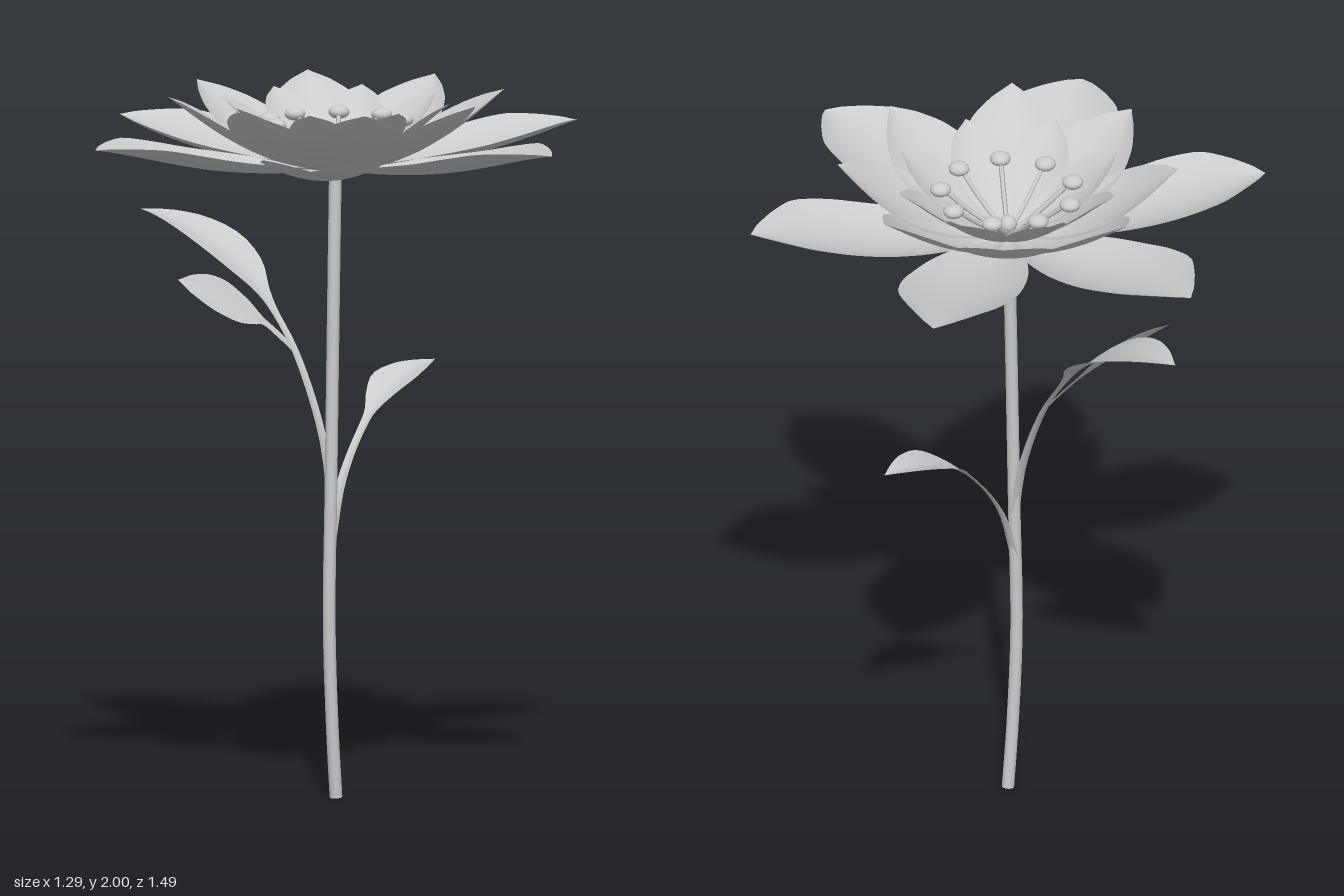
import * as THREE from 'three';

const material = new THREE.MeshStandardMaterial({ color: 0xcccccc });
const thin = new THREE.MeshStandardMaterial({ color: 0xcccccc, side: THREE.DoubleSide });

function addMesh(parent, name, geometry, mat = material) {
  const mesh = new THREE.Mesh(geometry, mat);
  mesh.name = name;
  parent.add(mesh);
  return mesh;
}

// Thin blade swept along rows of [x, y, z, halfWidth]; its edges lift by cup * halfWidth towards 'up'
function bladeGeometry(rows, up, cup, power = 2, along = 28, across = 10) {
  const centre = new THREE.CatmullRomCurve3(rows.map(r => new THREE.Vector3(r[0], r[1], r[2])));
  const width = new THREE.CatmullRomCurve3(rows.map((r, i) => new THREE.Vector3(r[3], i * 0.1, 0)));
  const hint = new THREE.Vector3(...up).normalize();
  const positions = [], index = [];
  for (let i = 0; i <= along; i++) {
    const t = i / along;
    const p = centre.getPoint(t);
    const tangent = centre.getTangent(t);
    const side = new THREE.Vector3().crossVectors(hint, tangent).normalize();
    const lift = new THREE.Vector3().crossVectors(tangent, side).normalize();
    const half = Math.max(width.getPoint(t).x, 0.0005);
    for (let j = 0; j <= across; j++) {
      const v = (j / across) * 2 - 1;
      const q = p.clone().addScaledVector(side, v * half)
        .addScaledVector(lift, cup * half * Math.abs(v) ** power);
      positions.push(q.x, q.y, q.z);
      if (i < along && j < across) {
        const a = i * (across + 1) + j, b = a + across + 1;
        index.push(a, b, a + 1, a + 1, b, b + 1);
      }
    }
  }
  const geometry = new THREE.BufferGeometry();
  geometry.setAttribute('position', new THREE.Float32BufferAttribute(positions, 3));
  geometry.setIndex(index);
  geometry.computeVertexNormals();
  return geometry;
}

// Ring of petals; profile rows are [radius, height, halfWidth]
function petalRing(name, count, offset, profile, cup) {
  const ring = new THREE.Group();
  ring.name = name;
  const geometry = bladeGeometry(profile.map(([r, y, w]) => [0, y, r, w]), [0, 1, 0], cup);
  for (let i = 0; i < count; i++) {
    addMesh(ring, 'petal', geometry, thin).rotation.y = offset + (i / count) * Math.PI * 2;
  }
  return ring;
}

function createStem() {
  const stem = new THREE.Group();
  stem.name = 'stem';
  const path = new THREE.CatmullRomCurve3([
    [0, 0], [-0.018, 0.2], [-0.033, 0.5], [-0.024, 0.9], [-0.015, 1.3], [-0.003, 1.79],
  ].map(([x, y]) => new THREE.Vector3(x, y, 0)));
  addMesh(stem, 'stalk', new THREE.TubeGeometry(path, 40, 0.018, 12));
  const cap = addMesh(stem, 'stalkEnd', new THREE.CircleGeometry(0.018, 12));
  cap.rotation.x = Math.PI / 2;
  return stem;
}

function createLeaves() {
  const leaves = new THREE.Group();
  leaves.name = 'leaves';
  // Single leaf arching out to the side
  addMesh(leaves, 'sideLeaf', bladeGeometry([
    [-0.02, 0.73, 0, 0.018], [0.02, 0.87, 0, 0.016], [0.07, 0.96, 0, 0.014],
    [0.13, 1.035, 0, 0.014], [0.17, 1.075, 0, 0.02], [0.22, 1.112, 0, 0.048],
    [0.29, 1.148, 0, 0.074], [0.37, 1.173, 0, 0.058], [0.43, 1.184, 0, 0.03], [0.48, 1.19, 0, 0],
  ], [-1, 1, 0], 0.25, 1.4), thin);
  // Forked leaf arching to the back
  addMesh(leaves, 'backLeaf', bladeGeometry([
    [-0.02, 0.8, 0, 0.02], [-0.02, 1.0, -0.03, 0.018], [-0.02, 1.14, -0.075, 0.017],
    [-0.02, 1.27, -0.135, 0.016], [-0.02, 1.365, -0.2, 0.017], [-0.02, 1.42, -0.245, 0.035],
    [-0.02, 1.48, -0.31, 0.085], [-0.02, 1.54, -0.4, 0.108], [-0.02, 1.585, -0.5, 0.09],
    [-0.02, 1.61, -0.59, 0.048], [-0.02, 1.62, -0.66, 0],
  ], [0, 1, 1], 0.18, 1.4), thin);
  // Smaller leaflet lying in the same curved surface
  addMesh(leaves, 'forkLeaflet', bladeGeometry([
    [-0.02, 1.26, -0.13, 0.015], [-0.06, 1.305, -0.155, 0.015], [-0.1, 1.347, -0.182, 0.018],
    [-0.14, 1.372, -0.2, 0.05], [-0.2, 1.402, -0.225, 0.08], [-0.26, 1.435, -0.255, 0.075],
    [-0.31, 1.465, -0.285, 0.04], [-0.337, 1.483, -0.305, 0],
  ], [0, 0.7, 0.7], 0.18, 1.4), thin);
  return leaves;
}

function createStamens() {
  const stamens = new THREE.Group();
  stamens.name = 'stamens';
  const count = 9;
  for (let i = 0; i < count; i++) {
    const stamen = new THREE.Group();
    stamen.name = 'stamen';
    stamen.rotation.y = 0.05 + (i / count) * Math.PI * 2;
    const path = new THREE.QuadraticBezierCurve3(
      new THREE.Vector3(0, 1.785, 0), new THREE.Vector3(0, 1.83, 0.09), new THREE.Vector3(0, 1.92, 0.18));
    addMesh(stamen, 'filament', new THREE.TubeGeometry(path, 8, 0.007, 6));
    const anther = addMesh(stamen, 'anther', new THREE.SphereGeometry(0.03, 14, 10));
    anther.position.set(0, 1.92, 0.19);
    anther.scale.y = 0.65;
    stamens.add(stamen);
  }
  const pistil = addMesh(stamens, 'pistil', new THREE.SphereGeometry(0.025, 16, 12));
  pistil.position.y = 1.815;
  return stamens;
}

export function createModel() {
  const flower = new THREE.Group();
  flower.name = 'flower';
  flower.add(createStem(), createLeaves(), createStamens());
  flower.add(petalRing('outerPetals', 6, 0, [
    [0, 1.785, 0.012], [0.1, 1.782, 0.07], [0.2, 1.785, 0.115], [0.3, 1.793, 0.146], [0.4, 1.806, 0.162],
    [0.5, 1.826, 0.167], [0.6, 1.85, 0.148], [0.67, 1.866, 0.092], [0.72, 1.876, 0.038], [0.745, 1.88, 0],
  ], 0.27));
  flower.add(petalRing('middlePetals', 8, 0, [
    [0, 1.787, 0.012], [0.08, 1.79, 0.06], [0.16, 1.808, 0.108], [0.24, 1.84, 0.138], [0.32, 1.884, 0.14],
    [0.39, 1.932, 0.108], [0.44, 1.97, 0.058], [0.48, 2.0, 0],
  ], 0.2));
  flower.add(petalRing('innerPetals', 8, Math.PI / 8, [
    [0, 1.79, 0.01], [0.06, 1.798, 0.04], [0.12, 1.823, 0.07], [0.18, 1.86, 0.088], [0.24, 1.905, 0.084],
    [0.29, 1.948, 0.055], [0.33, 1.98, 0],
  ], 0.2));
  return flower;
}
